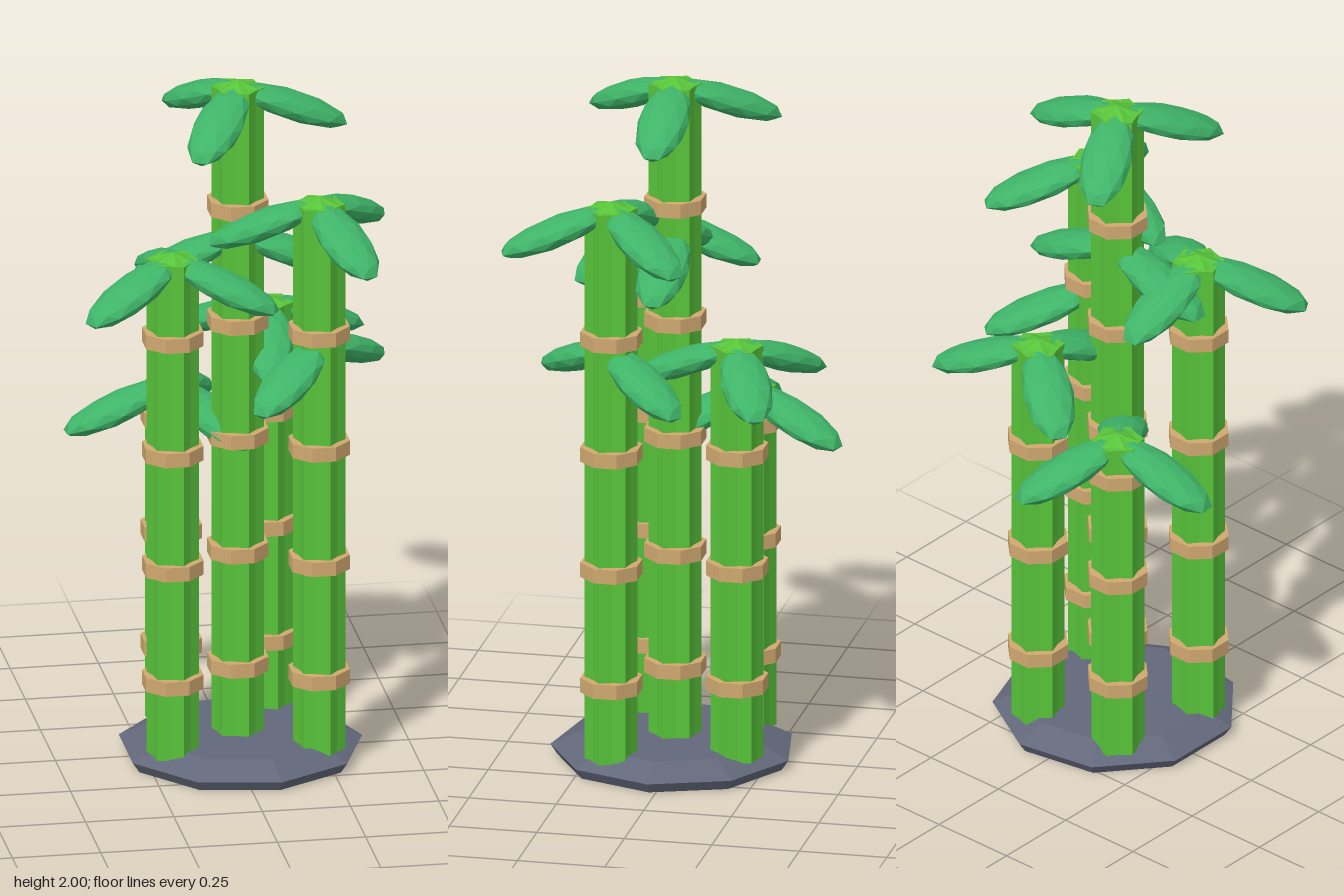
import * as THREE from 'three';

const paint = (name, color) => {
  const m = new THREE.MeshStandardMaterial({ color, flatShading: true });
  m.name = name;
  return m;
};

// Turn a round section into a six-pointed one by pulling in every second edge
function flute(geometry, inner) {
  const p = geometry.attributes.position;
  for (let i = 0; i < p.count; i++) {
    const x = p.getX(i), z = p.getZ(i);
    if (Math.hypot(x, z) < 1e-4) continue;
    const step = Math.round(Math.atan2(x, z) / (Math.PI / 6));
    if (Math.abs(step) % 2) p.setXYZ(i, x * inner, p.getY(i), z * inner);
  }
  geometry.computeVertexNormals();
  return geometry;
}

export function createModel() {
  const green = paint('stalk green', 0x58c43a);
  const leafGreen = paint('leaf green', 0x3fb468);
  const tan = paint('node tan', 0xd0a870);
  const slate = paint('slate', 0x62687a);

  const model = new THREE.Group();
  model.name = 'bambooCluster';

  const add = (parent, name, geometry, material, x, y, z) => {
    const mesh = new THREE.Mesh(geometry, material);
    mesh.name = name;
    mesh.position.set(x, y, z);
    parent.add(mesh);
    return mesh;
  };

  // Nine-sided stone base: undercut rim below, bevel above
  const rim = new THREE.CylinderGeometry(0.345, 0.325, 0.03, 9, 1);
  const bevel = new THREE.CylinderGeometry(0.265, 0.345, 0.04, 9, 1);
  for (const g of [rim, bevel]) g.rotateY(Math.PI / 2);
  add(model, 'baseRim', rim, slate, 0.02, 0.015, 0.02);
  add(model, 'baseTop', bevel, slate, 0.02, 0.05, 0.02);

  // Shared parts
  const leafShape = new THREE.IcosahedronGeometry(1, 1);
  leafShape.rotateZ(0.55);
  leafShape.scale(0.168, 0.04, 0.072);
  leafShape.rotateZ(-0.37);
  const ringShape = new THREE.CylinderGeometry(0.088, 0.088, 0.042, 8);
  ringShape.rotateY(Math.PI / 8);
  const capShape = flute(new THREE.ConeGeometry(0.062, 0.02, 12), 0.72);

  // Position, height, direction of first crown leaf, directions and height of lower leaves
  const stalks = [
    { x: 0.013, z: 0.018, top: 2.0, turn: 0, low: [0, 180], lowY: 1.48 },
    { x: 0.22, z: 0.155, top: 1.69, turn: 72, low: [-48, 132], lowY: 1.19 },
    { x: -0.19, z: 0.13, top: 1.54, turn: 28, low: [] },
    { x: 0.13, z: -0.185, top: 1.28, turn: -22, low: [] },
    { x: -0.145, z: -0.16, top: 1.07, turn: 54, low: [] },
  ];

  for (const { x, z, top, turn, low, lowY } of stalks) {
    const stalk = new THREE.Group();
    stalk.name = 'stalk';
    stalk.position.set(x, 0, z);
    model.add(stalk);

    // Fluted cane and its pointed cap
    const height = top - 0.07;
    const cane = flute(new THREE.CylinderGeometry(0.074, 0.074, height, 12), 0.82);
    cane.rotateY(Math.PI / 12);
    add(stalk, 'cane', cane, green, 0, 0.05 + height / 2, 0);
    add(stalk, 'cap', capShape, green, 0, top - 0.01, 0);

    // Node rings at even spacing
    for (let y = 0.27; y < top - 0.1; y += 0.34) add(stalk, 'nodeRing', ringShape, tan, 0, y, 0);

    // Drooping leaves
    const leaf = (degrees, y) => {
      const a = THREE.MathUtils.degToRad(degrees);
      const mesh = add(stalk, 'leaf', leafShape, leafGreen, 0.157 * Math.cos(a), y, 0.157 * Math.sin(a));
      mesh.rotation.y = -a;
    };
    for (let i = 0; i < 3; i++) leaf(turn + i * 120, top - 0.085);
    for (const degrees of low) leaf(degrees, lowY);
  }
  return model;
}
